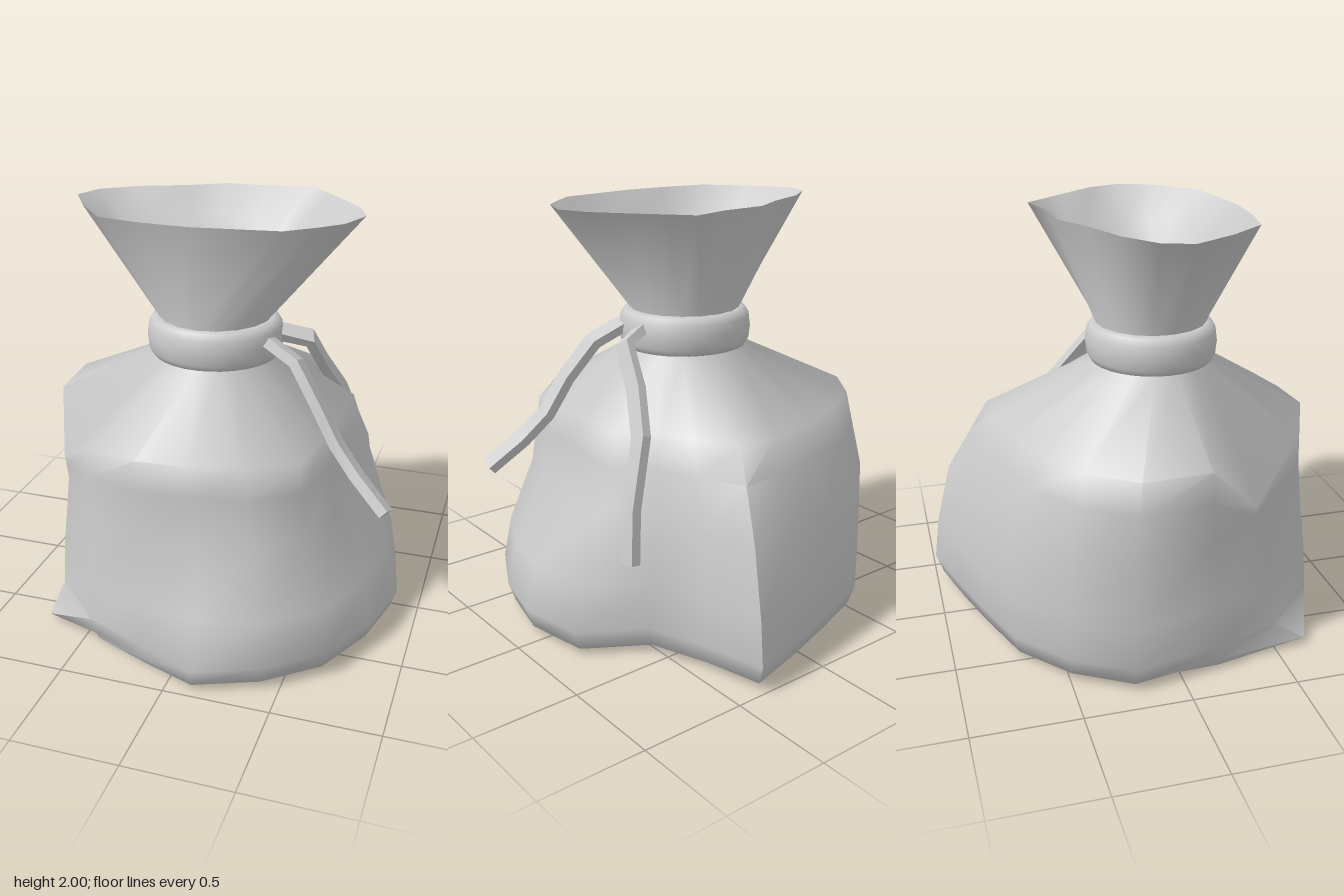
import * as THREE from 'three';
import { toCreasedNormals } from 'three/addons/utils/BufferGeometryUtils.js';

const SIDES = 18;
const NECK = [-0.045, 0.065];
const PIT = [-0.09, -0.02];

// Joins rings of [x, y, z] points into a skin
function loft(rings, crease) {
  const n = rings[0].length, pos = [];
  const same = (p, q) => p.every((v, k) => Math.abs(v - q[k]) < 1e-6);
  const tri = (p, q, r) => {
    if (!same(p, q) && !same(q, r) && !same(p, r)) pos.push(...p, ...q, ...r);
  };
  for (let j = 0; j < rings.length - 1; j++) {
    for (let i = 0; i < n; i++) {
      const k = (i + 1) % n;
      const a = rings[j][i], b = rings[j][k], c = rings[j + 1][i], d = rings[j + 1][k];
      tri(a, c, b);
      tri(b, c, d);
    }
  }
  const g = new THREE.BufferGeometry();
  g.setAttribute('position', new THREE.Float32BufferAttribute(pos, 3));
  return toCreasedNormals(g, crease);
}

// Outlines of the cloth as [x, z, optional rise], from the right side round the back
const foot = [[-0.9, -0.24], [-0.74, -0.51], [-0.5, -0.72], [-0.2, -0.83], [0.08, -0.92], [0.37, -1],
  [0.44, -0.72], [0.55, -0.42], [0.84, -0.24], [0.9, 0.08], [0.83, 0.38], [0.68, 0.68],
  [0.43, 0.88], [0.13, 1], [-0.15, 0.88], [-0.45, 0.76], [-0.71, 0.5], [-0.82, 0.2]];
const waist = [[-0.9, -0.24], [-0.74, -0.5], [-0.5, -0.7], [-0.2, -0.79], [0.08, -0.86], [0.34, -0.9],
  [0.42, -0.66], [0.51, -0.42], [0.7, -0.24], [0.64, 0.08], [0.62, 0.35], [0.54, 0.59],
  [0.35, 0.75], [0.1, 0.79], [-0.17, 0.79], [-0.46, 0.7], [-0.71, 0.38], [-0.83, 0.13]];
const shoulder = [[-0.86, -0.2], [-0.7, -0.42], [-0.48, -0.55], [-0.22, -0.64], [0.05, -0.7], [0.25, -0.7],
  [0.36, -0.5], [0.42, -0.34], [0.58, -0.22], [0.57, 0.05], [0.56, 0.32], [0.5, 0.56, -0.03],
  [0.29, 0.73], [0.06, 0.78], [-0.18, 0.8], [-0.46, 0.67, -0.05], [-0.73, 0.37, -0.25], [-0.84, 0.12]];
const rim = [[-0.68, -0.08], [-0.52, -0.2], [-0.3, -0.29], [-0.13, -0.39], [0.1, -0.4], [0.29, -0.45],
  [0.38, -0.34], [0.45, -0.26], [0.6, -0.07], [0.65, 0.08], [0.59, 0.24], [0.49, 0.34],
  [0.37, 0.44], [-0.02, 0.49], [-0.24, 0.48], [-0.46, 0.44], [-0.61, 0.26], [-0.73, 0.06]];

const circle = (r) => Array.from({ length: SIDES }, (_, i) => {
  const a = Math.PI + 0.2 + (i / SIDES) * Math.PI * 2;
  return [NECK[0] + r * Math.cos(a), NECK[1] + r * Math.sin(a)];
});
const mix = (p, q, t) => p.map(([x, z, h = 0], i) => {
  const [x2, z2, h2 = 0] = q[i];
  return [x + (x2 - x) * t, z + (z2 - z) * t, h + (h2 - h) * t];
});
const scale = (p, s, c = [0, 0]) => p.map(([x, z]) => [c[0] + (x - c[0]) * s, c[1] + (z - c[1]) * s]);
const at = (p, y) => p.map(([x, z, h = 0]) => [x, y + h, z]);

function sackGeometry() {
  // One pointed corner of cloth sticks out close to the ground
  const sole = scale(foot, 0.965);
  sole[16] = [-0.72, 0.65];
  const base = foot.map(([x, z], i) => (i > 13 ? [x * 0.95, z * 0.95] : [x * 0.88, z * 0.88]));
  // The front pulls in above the foot
  const hem = mix(foot, waist, 0.25);
  hem[13] = [0.12, 0.91];
  // Crumpled edge inside the mouth
  const crumple = scale(rim, 0.77, NECK).map(([x, z], i) => [x, z, i % 2 ? 0.04 : 0]);
  return loft([
    // flat base and rounded foot
    at(scale(foot, 0), 0), at(base, 0), at(sole, 0.035), at(foot, 0.13),
    // body up to the shoulder and the tied neck
    at(hem, 0.34), at(waist, 0.66), at(mix(waist, shoulder, 0.6), 0.88),
    at(shoulder, 1.03), at(circle(0.29), 1.3), at(circle(0.265), 1.48),
    // flared mouth, then the hollow inside it
    at(rim, 2), at(crumple, 1.85), at(scale(rim, 0.5, NECK), 1.71),
    at(scale(rim, 0.2, PIT), 1.57), at(scale(rim, 0, PIT), 1.47),
  ], 1.1);
}

// Flat cord swept along a path, with square ends
function cordGeometry(points) {
  const path = points.map((p) => new THREE.Vector3(...p));
  const last = path.length - 1;
  const rings = path.map((p, i) => {
    const t = path[Math.min(i + 1, last)].clone().sub(path[Math.max(i - 1, 0)]).normalize();
    const s = t.clone().cross(new THREE.Vector3(1, 0.5, 0)).normalize();
    const n = s.clone().cross(t);
    return [[1, 1], [1, -1], [-1, -1], [-1, 1]].map(([u, v]) =>
      p.clone().addScaledVector(n, u * 0.024).addScaledVector(s, v * 0.04).toArray());
  });
  const cap = (i) => rings[i].map(() => path[i].toArray());
  return loft([cap(0), ...rings, cap(last)], 0.3);
}

export function createModel() {
  const group = new THREE.Group();
  const material = new THREE.MeshStandardMaterial({ color: 0xcccccc, side: THREE.DoubleSide });
  const add = (name, geometry) => {
    const mesh = new THREE.Mesh(geometry, material);
    mesh.name = name;
    group.add(mesh);
    return mesh;
  };

  add('sack', sackGeometry());

  // Rounded band round the neck
  const band = [[0.22, 1.3], [0.27, 1.29], [0.3, 1.3], [0.318, 1.33], [0.325, 1.39],
    [0.318, 1.445], [0.3, 1.475], [0.27, 1.485], [0.22, 1.475]];
  const collar = add('neckBand', new THREE.LatheGeometry(band.map((p) => new THREE.Vector2(...p)), 32));
  collar.position.set(NECK[0], 0, NECK[1]);
  collar.scale.z = 0.97;

  // Loose ends of the tie
  add('frontCord', cordGeometry([[0.25, 1.41, 0.18], [0.39, 1.34, 0.22], [0.51, 1.17, 0.28],
    [0.61, 1, 0.31], [0.72, 0.88, 0.36], [0.87, 0.75, 0.43]]));
  add('backCord', cordGeometry([[0.25, 1.41, 0.02], [0.39, 1.37, -0.04], [0.43, 1.2, -0.18],
    [0.5, 1.02, -0.31], [0.61, 0.72, -0.38], [0.64, 0.48, -0.41]]));

  return group;
}
